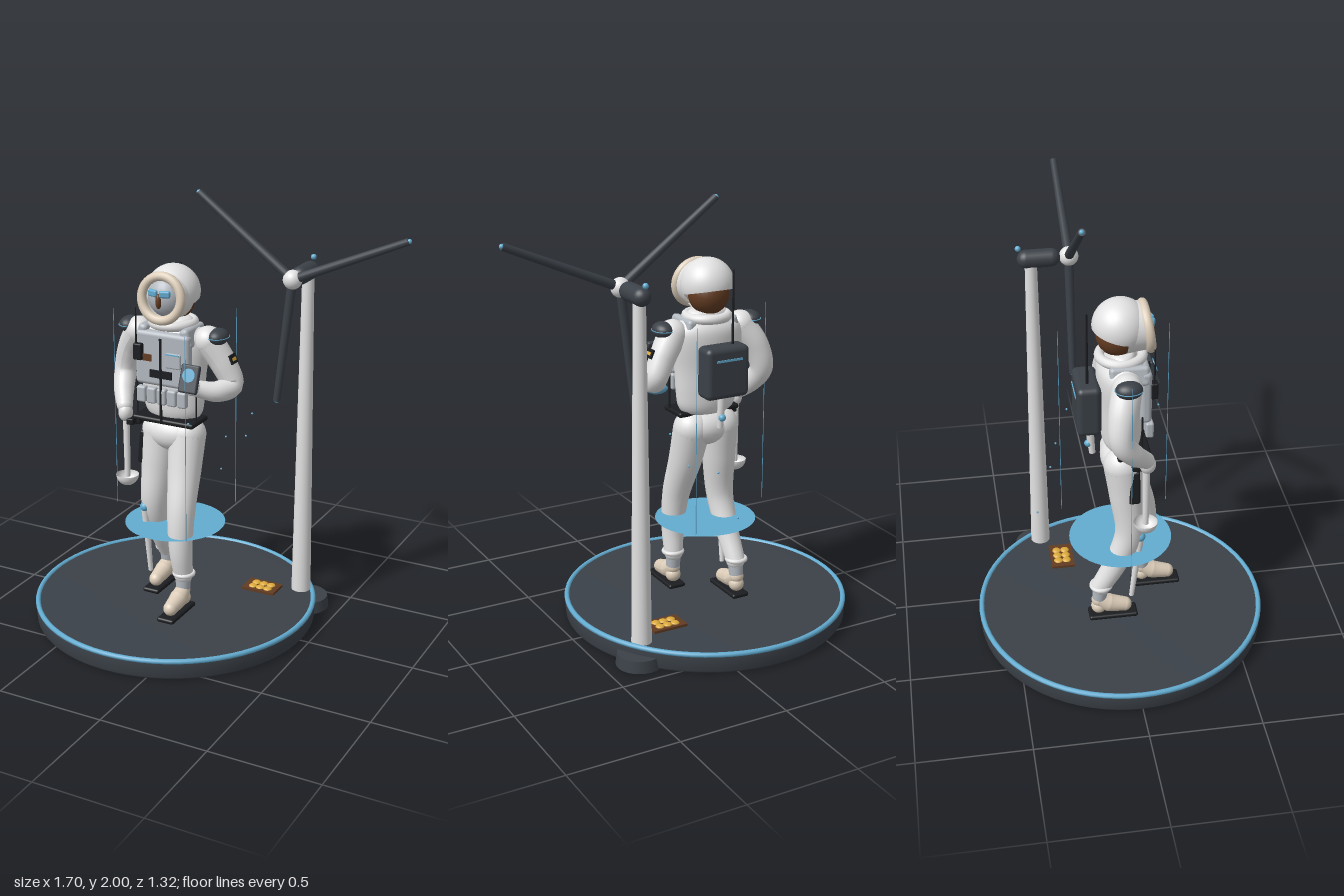
import * as THREE from 'three';
import { RoundedBoxGeometry } from 'three/addons/geometries/RoundedBoxGeometry.js';

const mat = (name, color, side = THREE.FrontSide) => {
  const m = new THREE.MeshStandardMaterial({ color, side });
  m.name = name;
  return m;
};
const M = {
  white: mat('suit white', 0xe2e2e2, THREE.DoubleSide),
  dark: mat('slate', 0x3b4148),
  black: mat('black', 0x1b1d20),
  blue: mat('accent blue', 0x62abd0, THREE.DoubleSide),
  tan: mat('tan', 0xdccdb9),
  gray: mat('rig gray', 0xb3b9c0),
  brown: mat('brown', 0x633c22),
  gold: mat('gold', 0xdcaa3c),
};
const V = (p) => new THREE.Vector3(...p);

function add(parent, name, geo, material, pos = [0, 0, 0], rot = [0, 0, 0], scale = [1, 1, 1]) {
  const m = new THREE.Mesh(geo, material);
  m.name = name;
  m.position.set(...pos);
  m.rotation.set(...rot);
  m.scale.set(...scale);
  parent.add(m);
  return m;
}
const ball = (parent, name, r, material, pos, scale) =>
  add(parent, name, new THREE.SphereGeometry(r, 24, 16), material, pos, [0, 0, 0], scale);
const box = (parent, name, size, material, pos, rot) =>
  add(parent, name, new THREE.BoxGeometry(...size), material, pos, rot);
const soft = (parent, name, size, r, material, pos, rot) =>
  add(parent, name, new RoundedBoxGeometry(...size, 3, r), material, pos, rot);

// Straight round rod between two points
function rod(parent, name, a, b, ra, rb, material, sides = 16) {
  const p = V(a), q = V(b), d = q.clone().sub(p);
  const m = add(parent, name, new THREE.CylinderGeometry(rb, ra, d.length(), sides), material);
  m.position.copy(p).add(q).multiplyScalar(0.5);
  m.quaternion.setFromUnitVectors(new THREE.Vector3(0, 1, 0), d.normalize());
  return m;
}

// Smooth limb: a tube whose rings are rescaled along the path, with rounded ends
function limb(parent, name, pts, radii, material) {
  const N = 28, S = 20;
  const curve = new THREE.CatmullRomCurve3(pts.map(V));
  const geo = new THREE.TubeGeometry(curve, N, 1, S);
  const pos = geo.attributes.position, v = new THREE.Vector3();
  for (let i = 0; i <= N; i++) {
    const c = curve.getPointAt(i / N);
    const t = curve.getUtoTmapping(i / N) * (radii.length - 1);
    const k = Math.min(Math.floor(t), radii.length - 2);
    const r = THREE.MathUtils.lerp(radii[k], radii[k + 1], t - k);
    for (let j = 0; j <= S; j++) {
      const n = i * (S + 1) + j;
      v.fromBufferAttribute(pos, n).sub(c).multiplyScalar(r).add(c);
      pos.setXYZ(n, v.x, v.y, v.z);
    }
  }
  geo.computeVertexNormals();
  add(parent, name, geo, material);
  ball(parent, name + 'Start', radii[0], material, pts[0]);
  ball(parent, name + 'End', radii.at(-1), material, pts.at(-1));
}

function buildBase(root) {
  const g = new THREE.Group();
  g.name = 'base';
  root.add(g);
  const profile = [[0, 0], [0.645, 0], [0.655, 0.012], [0.66, 0.075], [0.65, 0.09], [0, 0.09]]
    .map(([r, y]) => new THREE.Vector2(r, y));
  add(g, 'platform', new THREE.LatheGeometry(profile, 72), M.dark, [-0.19, 0, 0]);
  add(g, 'rimLight', new THREE.TorusGeometry(0.649, 0.012, 10, 72), M.blue, [-0.19, 0.087, 0], [Math.PI / 2, 0, 0]);
  add(g, 'turbineFoot', new THREE.CylinderGeometry(0.1, 0.107, 0.055, 36), M.dark, [0.335, 0.0275, -0.34]);
  // Sample tray
  box(g, 'tray', [0.165, 0.012, 0.11], M.brown, [0.15, 0.096, -0.235]);
  for (let i = 0; i < 6; i++)
    ball(g, 'sample', 0.021, M.gold, [0.112 + (i % 3) * 0.038, 0.101, -0.255 + Math.floor(i / 3) * 0.04], [1, 0.5, 1]);
  // Floating scan disc, guide lines and motes
  add(g, 'scanDisc', new THREE.CircleGeometry(0.233, 48), M.blue, [-0.19, 0.465, 0], [-Math.PI / 2, 0, 0]);
  for (const [x, z] of [[-0.5, 0], [0, 0.245], [0, -0.245]])
    rod(g, 'guideLine', [x, 0.5, z], [x, 1.45, z], 0.0015, 0.0015, M.blue, 6);
  for (const p of [[0.105, 0.98, -0.2], [0.045, 0.84, -0.26], [-0.14, 0.6, -0.37], [-0.08, 0.8, -0.3], [-0.01, 1.04, 0.2]])
    ball(g, 'mote', 0.005, M.blue, p);
}

function buildTurbine(root) {
  const g = new THREE.Group();
  g.name = 'turbine';
  root.add(g);
  const hub = [0.315, 1.645, -0.152];
  rod(g, 'tower', [0.315, 0.05, -0.32], [0.315, 1.63, -0.32], 0.046, 0.027, M.white, 28);
  add(g, 'nacelle', new THREE.CapsuleGeometry(0.041, 0.11, 6, 24), M.dark, [0.315, 1.645, -0.285], [Math.PI / 2, 0, 0]);
  ball(g, 'hub', 0.043, M.white, hub);
  ball(g, 'beacon', 0.013, M.blue, [0.315, 1.697, -0.375]);
  for (const a of [23.3, 143.3, 263.3]) {
    const c = Math.cos(a * Math.PI / 180), s = Math.sin(a * Math.PI / 180);
    const at = (d) => [hub[0] + c * d, hub[1] + s * d, hub[2]];
    rod(g, 'blade', at(0.03), at(0.568), 0.021, 0.016, M.dark);
    ball(g, 'bladeTip', 0.011, M.blue, at(0.568));
  }
}

function buildHead(g) {
  add(g, 'helmet', new THREE.SphereGeometry(0.121, 36, 24, 0, Math.PI * 2, 0, 1.85), M.white, [0, 1.57, -0.002], [0.25, 0, 0]);
  add(g, 'hood', new THREE.CylinderGeometry(0.102, 0.113, 0.09, 36, 1, true), M.white, [0, 1.562, 0.06], [Math.PI / 2, 0, 0]);
  add(g, 'hoodRing', new THREE.TorusGeometry(0.097, 0.021, 14, 48), M.tan, [0, 1.56, 0.108], [-0.14, 0, 0]);
  ball(g, 'headBack', 0.092, M.brown, [0, 1.53, -0.015]);
  ball(g, 'face', 0.088, M.gray, [0, 1.56, 0.06], [0.95, 1.05, 0.85]);
  for (const s of [-1, 1]) soft(g, 'goggleLens', [0.05, 0.032, 0.02], 0.009, M.blue, [s * 0.029, 1.586, 0.128], [0, s * 0.3, 0]);
  ball(g, 'nose', 0.016, M.brown, [0, 1.552, 0.132], [0.85, 2.1, 0.9]);
  add(g, 'collar', new THREE.TorusGeometry(0.092, 0.022, 12, 36), M.white, [0, 1.43, 0], [Math.PI / 2, 0, 0]);
}

function buildBody(g) {
  const profile = [[0, 0.98], [0.1, 0.985], [0.138, 1.02], [0.15, 1.09], [0.158, 1.2], [0.175, 1.32], [0.165, 1.385], [0.11, 1.43], [0.08, 1.46], [0, 1.465]]
    .map(([r, y]) => new THREE.Vector2(r, y));
  add(g, 'torso', new THREE.LatheGeometry(new THREE.SplineCurve(profile).getPoints(40), 36), M.white, [0, 0, 0], [0, 0, 0], [1, 1, 0.6]);
  ball(g, 'pelvis', 0.1, M.white, [0, 0.91, 0.005], [1.42, 0.85, 0.95]);
  soft(g, 'belt', [0.31, 0.024, 0.15], 0.01, M.black, [0, 0.99, 0.04]);
  // Chest rig
  soft(g, 'chestRig', [0.27, 0.25, 0.05], 0.02, M.gray, [0, 1.28, 0.09]);
  for (let i = 0; i < 5; i++) soft(g, 'pouch', [0.046, 0.075, 0.035], 0.01, M.gray, [(i - 2) * 0.051, 1.11, 0.108]);
  for (const s of [-1, 1]) {
    soft(g, 'shoulderStrap', [0.045, 0.09, 0.17], 0.018, M.gray, [s * 0.11, 1.385, 0.02], [0, 0, s * 0.25]);
    rod(g, 'sideCable', [s * 0.15, 0.99, 0.07], [s * 0.15, 1.2, 0.07], 0.004, 0.004, M.black, 8);
  }
  rod(g, 'centreCable', [0, 0.99, 0.122], [0, 1.38, 0.122], 0.006, 0.006, M.black, 8);
  box(g, 'namePlate', [0.11, 0.034, 0.009], M.black, [0, 1.215, 0.12]);
  box(g, 'brownPatch', [0.055, 0.03, 0.008], M.brown, [-0.075, 1.285, 0.118]);
  soft(g, 'chestPanel', [0.075, 0.07, 0.02], 0.008, M.gray, [0.063, 1.285, 0.116]);
  box(g, 'panelLine', [0.065, 0.005, 0.006], M.blue, [0.063, 1.315, 0.126]);
  soft(g, 'radio', [0.042, 0.075, 0.03], 0.006, M.black, [-0.11, 1.31, 0.125]);
  rod(g, 'radioAntenna', [-0.12, 1.34, 0.125], [-0.12, 1.51, 0.125], 0.004, 0.003, M.black, 8);
  // Backpack
  soft(g, 'backpack', [0.215, 0.235, 0.105], 0.025, M.dark, [0, 1.21, -0.148]);
  box(g, 'backpackStripe', [0.13, 0.01, 0.006], M.blue, [0, 1.27, -0.201]);
  rod(g, 'packAntenna', [-0.045, 1.3, -0.15], [-0.045, 1.66, -0.15], 0.006, 0.004, M.black, 8);
  rod(g, 'packHose', [0, 1.1, -0.14], [0, 0.94, -0.125], 0.02, 0.014, M.white);
  ball(g, 'hoseLight', 0.017, M.blue, [0, 0.99, -0.143]);
  // Holster
  soft(g, 'holster', [0.035, 0.16, 0.05], 0.01, M.black, [-0.137, 0.83, 0.04], [0, 0, -0.1]);
  soft(g, 'holsterGrip', [0.045, 0.03, 0.05], 0.008, M.black, [-0.16, 0.955, 0.05]);
}

function buildArms(g) {
  limb(g, 'rightArm', [[-0.175, 1.365, 0], [-0.238, 1.27, -0.03], [-0.27, 1.16, -0.035], [-0.25, 1.08, 0.02], [-0.215, 1.025, 0.075]],
    [0.066, 0.06, 0.053, 0.047, 0.037], M.white);
  limb(g, 'leftArm', [[0.175, 1.365, 0], [0.235, 1.27, -0.02], [0.278, 1.17, -0.025], [0.245, 1.155, 0.05], [0.18, 1.175, 0.11]],
    [0.066, 0.06, 0.052, 0.047, 0.037], M.white);
  for (const s of [-1, 1]) {
    ball(g, 'shoulderPad', 0.05, M.dark, [s * 0.223, 1.39, 0], [0.92, 0.74, 1.16]);
    add(g, 'padLine', new THREE.TorusGeometry(0.05, 0.002, 6, 32), M.blue, [s * 0.223, 1.39, 0], [Math.PI / 2, 0, 0], [0.94, 1.18, 1]);
  }
  ball(g, 'elbowLight', 0.022, M.blue, [0.26, 1.13, -0.025], [2.2, 1, 1]);
  box(g, 'armPatch', [0.009, 0.042, 0.052], M.black, [0.292, 1.295, -0.01], [0, 0, 0.4]);
  box(g, 'armPatchBadge', [0.009, 0.014, 0.032], M.gold, [0.295, 1.295, -0.01], [0, 0, 0.4]);
  // Right hand with scoop
  ball(g, 'rightHand', 0.036, M.white, [-0.205, 0.995, 0.085], [0.9, 1.2, 1]);
  soft(g, 'wristUnit', [0.035, 0.03, 0.04], 0.006, M.black, [-0.172, 0.96, 0.09]);
  rod(g, 'scoopHandle', [-0.205, 1.0, 0.08], [-0.205, 0.68, 0.08], 0.017, 0.013, M.white);
  add(g, 'scoopBowl', new THREE.SphereGeometry(0.053, 24, 10, 0, Math.PI * 2, Math.PI / 2, Math.PI / 2), M.white, [-0.205, 0.69, 0.08]);
  // Left hand with tablet
  ball(g, 'leftHand', 0.038, M.white, [0.165, 1.185, 0.13]);
  const tablet = new THREE.Group();
  tablet.name = 'tablet';
  tablet.position.set(0.172, 1.237, 0.172);
  tablet.rotation.x = -0.35;
  g.add(tablet);
  soft(tablet, 'tabletCase', [0.09, 0.125, 0.024], 0.008, M.dark);
  add(tablet, 'tabletScreen', new THREE.CylinderGeometry(0.03, 0.03, 0.006, 24), M.blue, [0, 0.015, 0.013], [Math.PI / 2, 0, 0]);
}

function buildLegs(g) {
  // side, knee path in z, heel z, ankle z
  const legs = [
    ['left', 1, [0.005, 0.05, 0.115, 0.13, 0.115], 0.115],
    ['right', -1, [0, 0.015, 0.025, -0.04, -0.105], -0.12],
  ];
  for (const [name, s, z, heel] of legs) {
    const x = [0.07, 0.078, 0.093, 0.1, 0.104], y = [0.91, 0.75, 0.55, 0.38, 0.265];
    limb(g, name + 'Leg', x.map((v, i) => [s * v, y[i], z[i]]), [0.086, 0.077, 0.063, 0.053, 0.045], M.white);
    add(g, name + 'Cuff', new THREE.TorusGeometry(0.043, 0.011, 10, 32), M.white, [s * 0.107, 0.27, z[4]], [Math.PI / 2, 0, 0]);
    rod(g, name + 'Gaiter', [s * 0.104, 0.27, z[4]], [s * 0.104, 0.18, heel + 0.005], 0.038, 0.032, M.gray);
    limb(g, name + 'Boot', [[s * 0.104, 0.185, heel + 0.005], [s * 0.104, 0.16, heel + 0.05], [s * 0.104, 0.142, heel + 0.125]],
      [0.034, 0.042, 0.033], M.tan);
    ball(g, name + 'Heel', 0.036, M.tan, [s * 0.104, 0.148, heel + 0.005]);
    soft(g, name + 'Sole', [0.085, 0.022, 0.225], 0.01, M.black, [s * 0.104, 0.102, heel + 0.07]);
  }
  // Support strut beside the right knee
  ball(g, 'kneeLight', 0.023, M.blue, [-0.12, 0.54, 0.072]);
  rod(g, 'strut', [-0.12, 0.54, 0.072], [-0.115, 0.2, 0.035], 0.018, 0.011, M.white);
}

export function createModel() {
  const root = new THREE.Group();
  root.name = 'explorerDiorama';
  buildBase(root);
  buildTurbine(root);
  const explorer = new THREE.Group();
  explorer.name = 'explorer';
  explorer.position.x = -0.19;
  root.add(explorer);
  for (const build of [buildHead, buildBody, buildArms, buildLegs]) build(explorer);
  return root;
}
